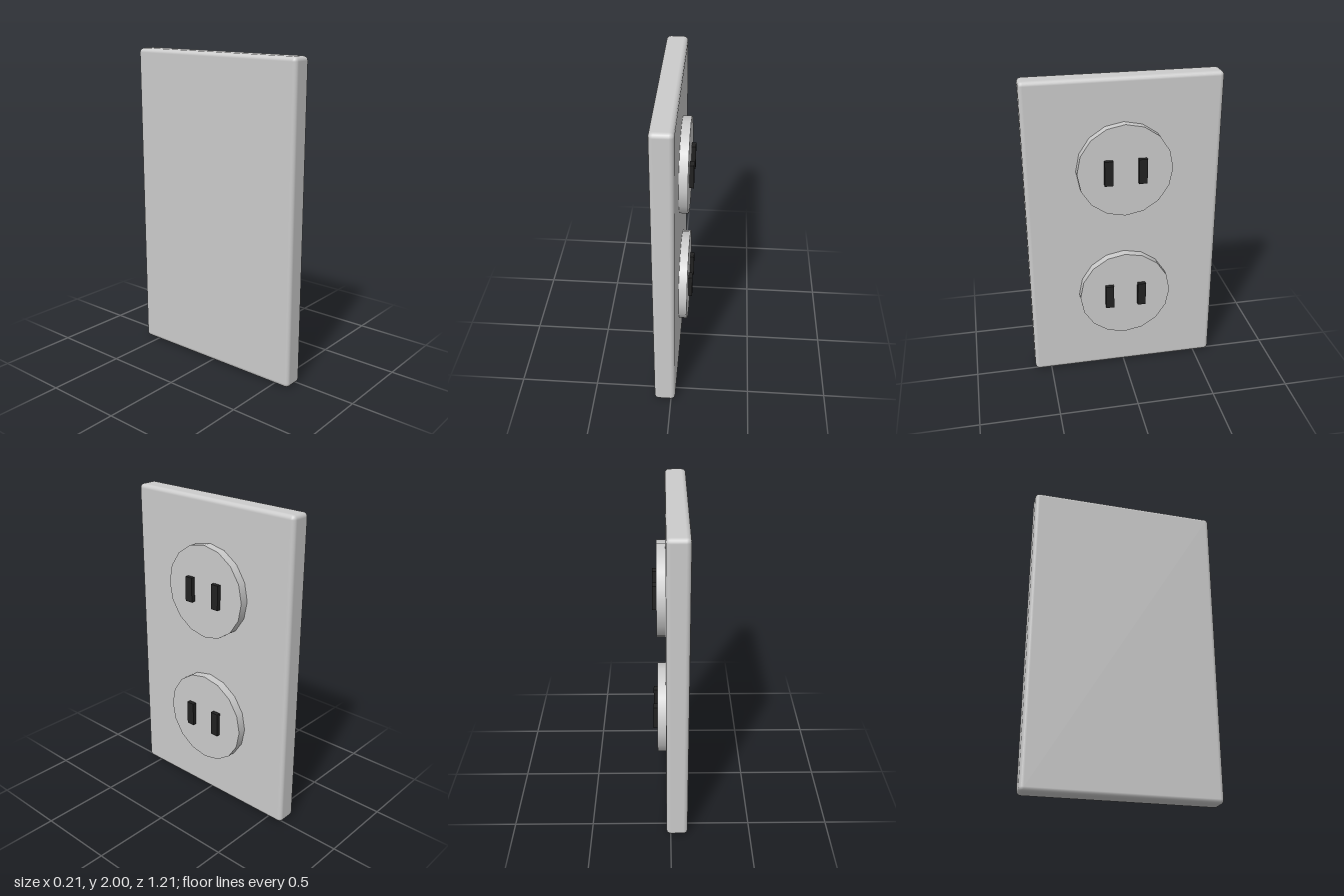
import * as THREE from 'three';
import { RoundedBoxGeometry } from 'three/addons/geometries/RoundedBoxGeometry.js';

export function createModel() {
  const model = new THREE.Group();
  model.name = 'wallOutlet';
  const grey = new THREE.MeshStandardMaterial({ color: 0xcccccc });
  const dark = new THREE.MeshStandardMaterial({ color: 0x222222 });

  const add = (parent, name, geometry, material, x, y, z) => {
    const mesh = new THREE.Mesh(geometry, material);
    mesh.name = name;
    mesh.position.set(x, y, z);
    parent.add(mesh);
    return mesh;
  };

  // Wall plate with softly rounded edges
  add(model, 'wallPlate', new RoundedBoxGeometry(0.134, 2, 1.214, 2, 0.027), grey, -0.04, 1, 0);

  // Two sockets facing +x: a 16-sided disc with two raised dark slots each
  const discGeometry = new THREE.CylinderGeometry(0.295, 0.295, 0.107, 16).rotateZ(-Math.PI / 2);
  const slotGeometry = new THREE.BoxGeometry(0.054, 0.157, 0.052);
  [['upper', 1.437], ['lower', 0.57]].forEach(([label, y]) => {
    const socket = new THREE.Group();
    socket.name = label + 'Socket';
    socket.position.y = y;
    model.add(socket);
    add(socket, 'socketDisc', discGeometry, grey, 0.027, 0, 0);
    add(socket, 'leftSlot', slotGeometry, dark, 0.08, 0, 0.105);
    add(socket, 'rightSlot', slotGeometry, dark, 0.08, 0, -0.105);
  });

  return model;
}
